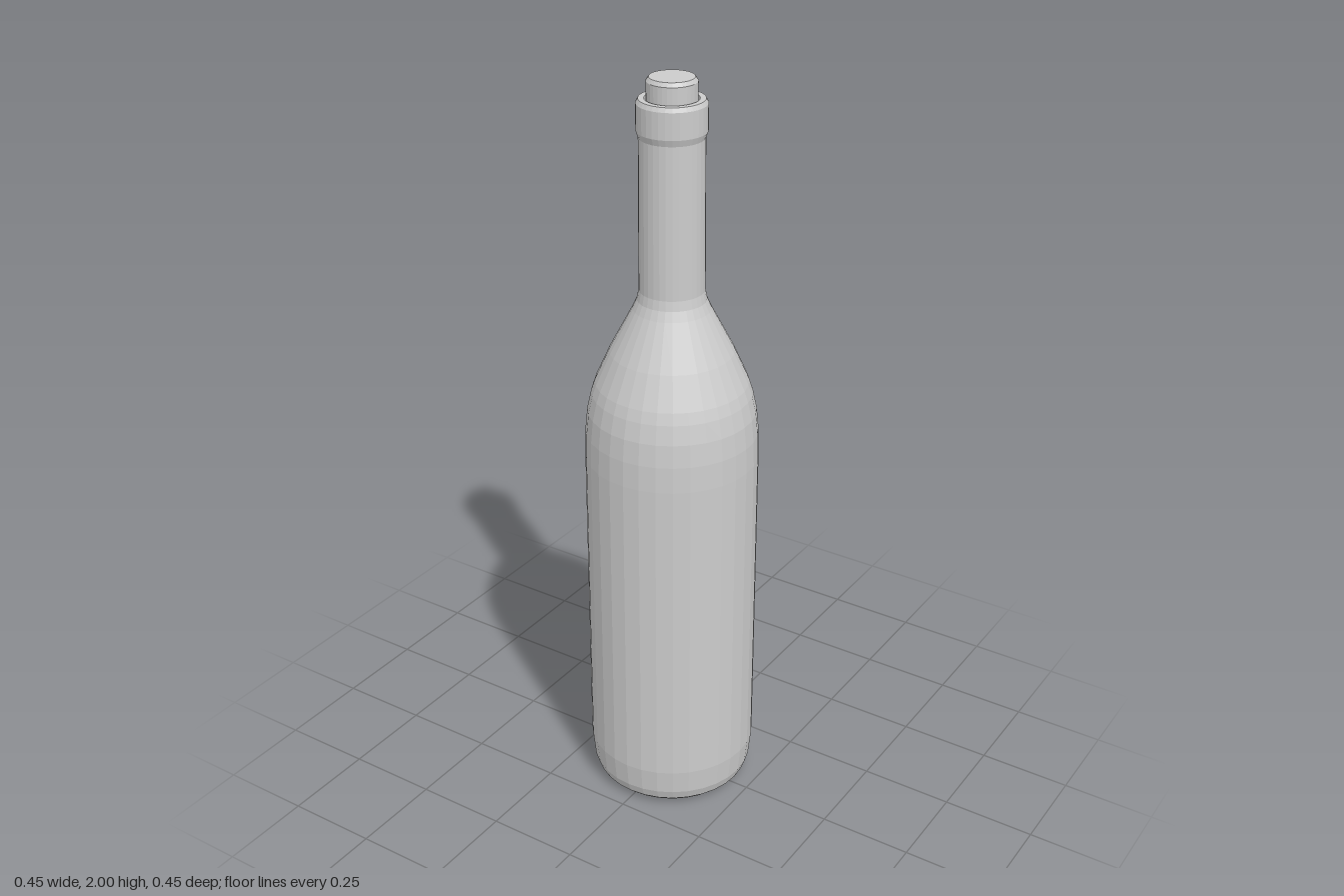
import * as THREE from 'three';

const SEGMENTS = 32;

// Spins a [radius, height] profile into a faceted solid of revolution.
function turned(name, profile, material) {
  const points = profile.map(([r, y]) => new THREE.Vector2(r, y));
  const mesh = new THREE.Mesh(new THREE.LatheGeometry(points, SEGMENTS), material);
  mesh.name = name;
  return mesh;
}

export function createModel() {
  const group = new THREE.Group();
  group.name = 'corkedBottle';
  const material = new THREE.MeshStandardMaterial({
    color: 0xcccccc, flatShading: true, side: THREE.DoubleSide,
  });

  // Glass: recessed base, straight body, sloping shoulder, neck
  group.add(turned('bottleBody', [
    [0, 0.04], [0.11, 0.035], [0.13, 0.018], [0.15, 0.004], [0.17, 0],
    [0.193, 0.006], [0.21, 0.022], [0.22, 0.05], [0.227, 0.12],
    [0.227, 1.0], [0.225, 1.07], [0.219, 1.13], [0.208, 1.18], [0.198, 1.21],
    [0.16, 1.295], [0.1, 1.41], [0.089, 1.435], [0.084, 1.46],
    [0.082, 1.86],
  ], material));

  // Lip: raised collar, turning down inside the mouth
  group.add(turned('lip', [
    [0.081, 1.85], [0.088, 1.87], [0.088, 1.937], [0.082, 1.948],
    [0.067, 1.948], [0.065, 1.94], [0.065, 1.8],
  ], material));

  // Cork: bevelled stopper standing out of the mouth
  group.add(turned('cork', [
    [0, 1.8], [0.062, 1.8], [0.063, 1.99], [0.056, 2], [0, 2],
  ], material));

  return group;
}
